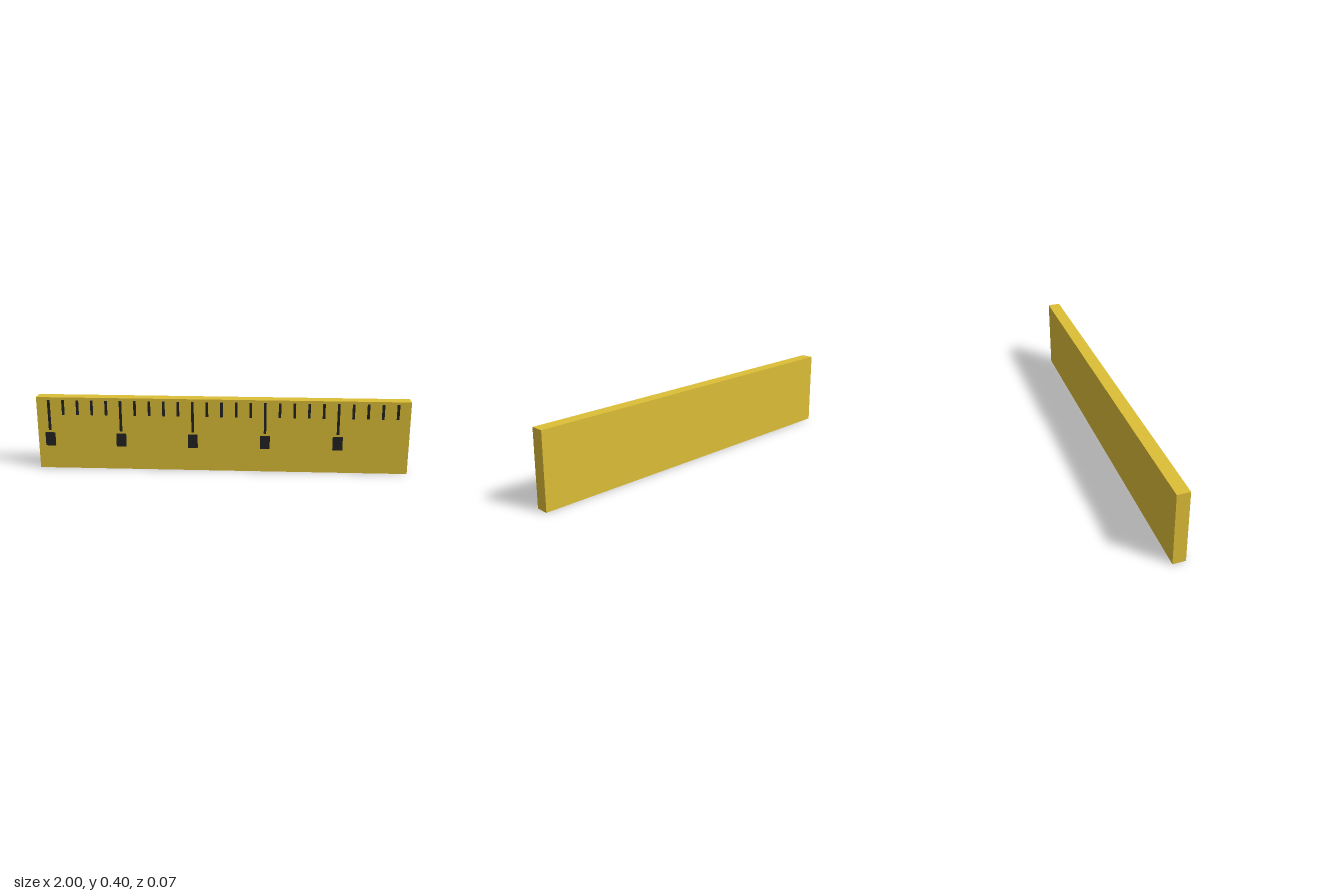
import * as THREE from 'three';

const yellow = new THREE.MeshStandardMaterial({ color: 0xdcbe37 });
const black = new THREE.MeshStandardMaterial({ color: 0x222222 });

export function createModel() {
  const ruler = new THREE.Group();
  ruler.name = 'ruler';

  // Box given by its width, vertical range and depth range
  function addBox(name, material, x, width, [y0, y1], [z0, z1]) {
    const mesh = new THREE.Mesh(new THREE.BoxGeometry(width, y1 - y0, z1 - z0), material);
    mesh.position.set(x, (y0 + y1) / 2, (z0 + z1) / 2);
    mesh.name = name;
    ruler.add(mesh);
  }

  // Flat body
  addBox('body', yellow, 0, 2, [0, 0.4], [-0.037, 0.03]);

  // Raised graduation marks, every fifth one long with a square below it
  const count = 25, first = -0.933, step = 1.866 / (count - 1);
  const raised = [0.029, 0.037];
  for (let i = 0; i < count; i++) {
    const x = first + i * step;
    const major = i % 5 === 0;
    addBox(major ? 'longMark' : 'shortMark', black, x, 0.0133, [major ? 0.217 : 0.305, 0.385], raised);
    if (major) addBox('squareMark', black, x, 0.053, [0.13, 0.203], raised);
  }
  return ruler;
}
